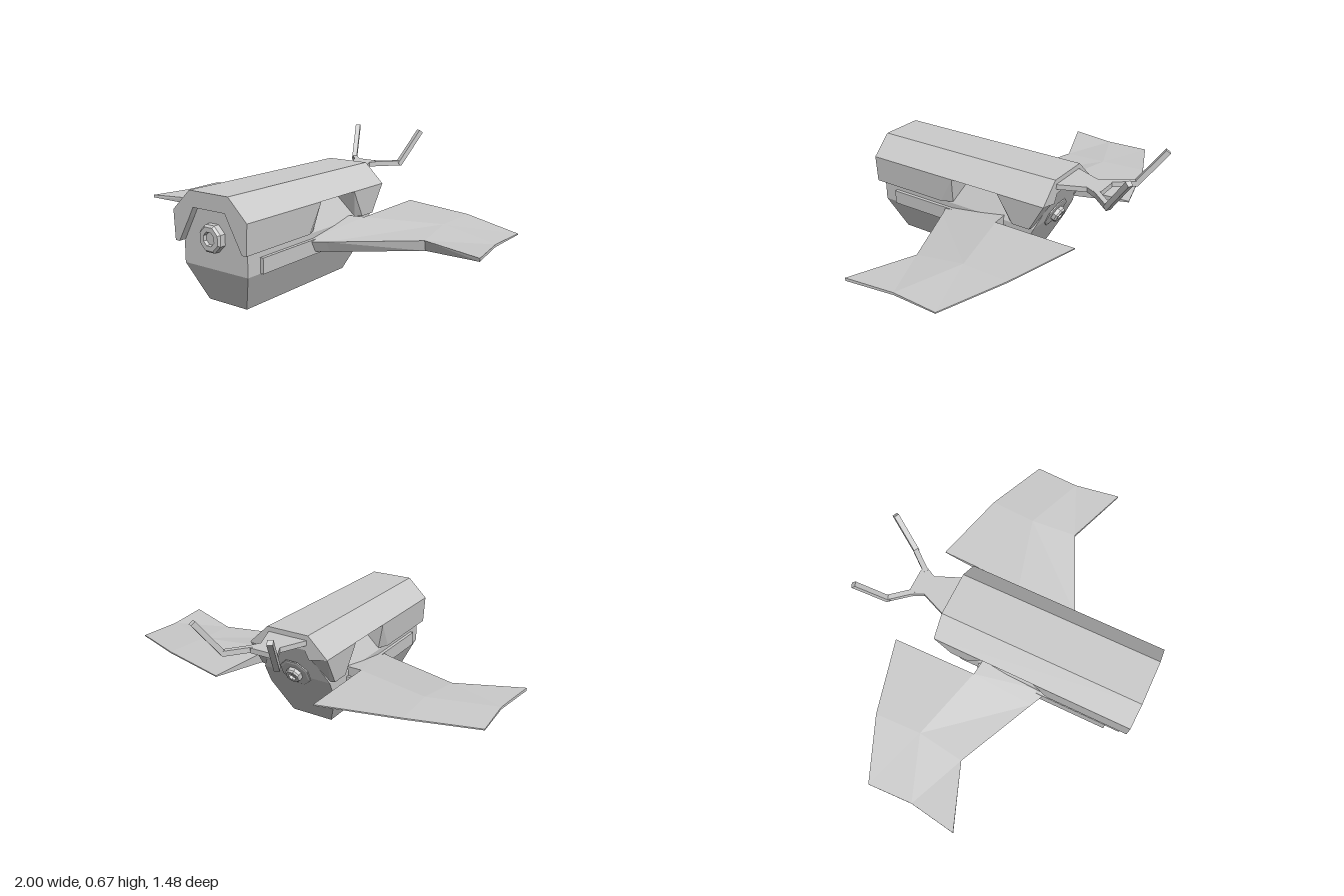
import * as THREE from 'three';
import { ConvexGeometry } from 'three/addons/geometries/ConvexGeometry.js';

const grey = new THREE.MeshStandardMaterial({ color: 0xcccccc, flatShading: true });
const greyDouble = new THREE.MeshStandardMaterial({ color: 0xcccccc, flatShading: true, side: THREE.DoubleSide });

const V = (p) => new THREE.Vector3(...p);
const convex = (points) => new ConvexGeometry(points.map(V));

// Copy of a geometry on the other side, with the winding turned round
function mirrored(geometry) {
  const g = geometry.index ? geometry.toNonIndexed() : geometry.clone();
  const p = g.attributes.position;
  const a = new THREE.Vector3(), b = new THREE.Vector3();
  g.scale(-1, 1, 1);
  for (let i = 0; i < p.count; i += 3) {
    a.fromBufferAttribute(p, i + 1);
    b.fromBufferAttribute(p, i + 2);
    p.setXYZ(i + 1, b.x, b.y, b.z);
    p.setXYZ(i + 2, a.x, a.y, a.z);
  }
  g.computeVertexNormals();
  return g;
}

// Flat shape in x and z, given thickness in y
function slab(outline, y, height) {
  const shape = new THREE.Shape(outline.map(([x, z]) => new THREE.Vector2(x, -z)));
  const g = new THREE.ExtrudeGeometry(shape, { depth: height, bevelEnabled: false });
  return g.rotateX(-Math.PI / 2).translate(0, y, 0);
}

// Octagonal fitting with a sunken centre, facing +z
function fitting(radius, depth) {
  const profile = [[radius, 0], [radius, depth * 0.75], [radius * 0.85, depth],
    [radius * 0.5, depth], [radius * 0.45, depth * 0.6], [0, depth * 0.6]];
  const g = new THREE.LatheGeometry(profile.map(([r, y]) => new THREE.Vector2(r, y)), 8);
  return g.rotateY(Math.PI / 8).rotateX(Math.PI / 2);
}

// Wing panel: columns from root to tip, rows from leading to trailing edge
function wingGeometry() {
  // x, z, top y, bottom y, setback of the lower edge
  const columns = [
    [[0.27, 0.247, 0.25, 0.195, 0.03], [0.265, -0.08, 0.303, 0.238, 0], [0.275, -0.52, 0.311, 0.305, 0]],
    [[0.68, 0.06, 0.285, 0.235, 0.01], [0.65, -0.18, 0.306, 0.252, 0], [0.66, -0.42, 0.31, 0.303, 0]],
    [[1.0, 0.18, 0.293, 0.278, 0], [0.965, -0.06, 0.29, 0.278, 0], [0.975, -0.29, 0.29, 0.284, 0]],
  ];
  const pos = [], index = [];
  for (const column of columns) {
    for (const [x, z, top, bottom, back] of column) pos.push(x, top, z, x, bottom, z - back);
  }
  const top = (c, r) => (c * 3 + r) * 2;
  const low = (c, r) => top(c, r) + 1;
  const quad = (a, b, c, d) => index.push(a, b, c, a, c, d);
  for (let c = 0; c < 2; c++) {
    for (let r = 0; r < 2; r++) {
      quad(top(c, r), top(c + 1, r), top(c + 1, r + 1), top(c, r + 1));
      quad(low(c, r), low(c, r + 1), low(c + 1, r + 1), low(c + 1, r));
    }
    quad(top(c, 0), low(c, 0), low(c + 1, 0), top(c + 1, 0));
    quad(top(c, 2), top(c + 1, 2), low(c + 1, 2), low(c, 2));
  }
  for (let r = 0; r < 2; r++) {
    quad(top(0, r), top(0, r + 1), low(0, r + 1), low(0, r));
    quad(top(2, r), low(2, r), low(2, r + 1), top(2, r + 1));
  }
  const g = new THREE.BufferGeometry();
  g.setAttribute('position', new THREE.Float32BufferAttribute(pos, 3));
  g.setIndex(index);
  const flat = g.toNonIndexed();
  flat.computeVertexNormals();
  return flat;
}

export function createModel() {
  const model = new THREE.Group();
  model.name = 'wingedCraft';
  const add = (name, geometry, material = grey) => {
    const mesh = new THREE.Mesh(geometry, material);
    mesh.name = name;
    model.add(mesh);
    return mesh;
  };
  const addPair = (name, geometry, material) => {
    add(name + 'Left', geometry, material);
    add(name + 'Right', mirrored(geometry), material);
  };

  // Hull: half width, height, front z, back z
  const sections = [[0.115, 0, 0.63, -0.11], [0.19, 0.18, 0.70, -0.198],
    [0.19, 0.28, 0.70, -0.247], [0.095, 0.455, 0.70, -0.315]];
  add('hull', convex(sections.flatMap(([w, y, f, b]) =>
    [[w, y, f], [-w, y, f], [w, y, b], [-w, y, b]])));

  // Roof shell over the hull
  const half = [[0.115, 0.53], [0.22, 0.43], [0.12, 0.408], [0.095, 0.455]];
  const section = [...half, ...half.map(([x, y]) => [-x, y]).reverse()];
  const roof = new THREE.ExtrudeGeometry(
    new THREE.Shape(section.map((p) => new THREE.Vector2(...p))),
    { depth: 1.05, bevelEnabled: false });
  add('roofShell', roof.translate(0, 0, -0.317));

  // Shell flaps in front of and behind the wing opening, with bevelled edges
  const flap = (outerTop, outerLow, innerTop, innerLow) => convex([
    ...outerTop.map((z) => [0.22, 0.43, z]), ...outerLow.map((z) => [0.213, 0.288, z]),
    ...innerTop.map((z) => [0.12, 0.408, z]), ...innerLow.map((z) => [0.188, 0.288, z])]);
  addPair('frontFlap', flap([0.733, 0.22], [0.733, 0.30], [0.733, 0.18], [0.733, 0.24]));
  addPair('rearFlap', flap([-0.055, -0.317], [-0.14, -0.235], [-0.04, -0.305], [-0.11, -0.24]));

  // Long side rails
  addPair('sideRail', new THREE.BoxGeometry(0.03, 0.073, 0.71).translate(0.192, 0.217, 0.265));

  // Wings and the blocks that join them to the hull
  addPair('wing', wingGeometry());
  addPair('wingRoot', convex([
    [0.17, 0.245, 0.295], [0.17, 0.19, 0.265], [0.27, 0.25, 0.247], [0.27, 0.195, 0.217],
    [0.17, 0.30, -0.07], [0.17, 0.235, -0.07], [0.265, 0.303, -0.08], [0.265, 0.238, -0.08]]));

  // Front fitting, and rear fitting on the sloping back
  add('frontFitting', fitting(0.067, 0.04), greyDouble).position.set(0, 0.328, 0.698);
  const rear = new THREE.Group();
  rear.name = 'rearFitting';
  const plate = new THREE.Mesh(fitting(0.085, 0.008), greyDouble);
  plate.name = 'rearPlate';
  const knob = new THREE.Mesh(fitting(0.043, 0.035), greyDouble);
  knob.name = 'rearKnob';
  rear.add(plate, knob);
  rear.position.set(0, 0.295, -0.252);
  rear.rotation.set(0.46, Math.PI, 0, 'YXZ');
  model.add(rear);

  // Tail plate with two bent antennae
  const edge = [[0.11, -0.30], [0.105, -0.325], [0.053, -0.45], [0.082, -0.505], [0.055, -0.525]];
  add('tailPlate', slab([...edge, ...edge.map(([x, z]) => [-x, z]).reverse()], 0.48, 0.025));
  const bar = (from, to, size) => {
    const a = V(from), b = V(to);
    const aim = new THREE.Object3D();
    aim.position.copy(a).add(b).multiplyScalar(0.5);
    aim.lookAt(b);
    aim.updateMatrix();
    return new THREE.BoxGeometry(size, size, a.distanceTo(b)).applyMatrix4(aim.matrix);
  };
  addPair('antennaBase', bar([0.06, 0.493, -0.50], [0.15, 0.49, -0.61], 0.026));
  addPair('antennaTip', bar([0.147, 0.483, -0.602], [0.207, 0.66, -0.727], 0.026));
  return model;
}
